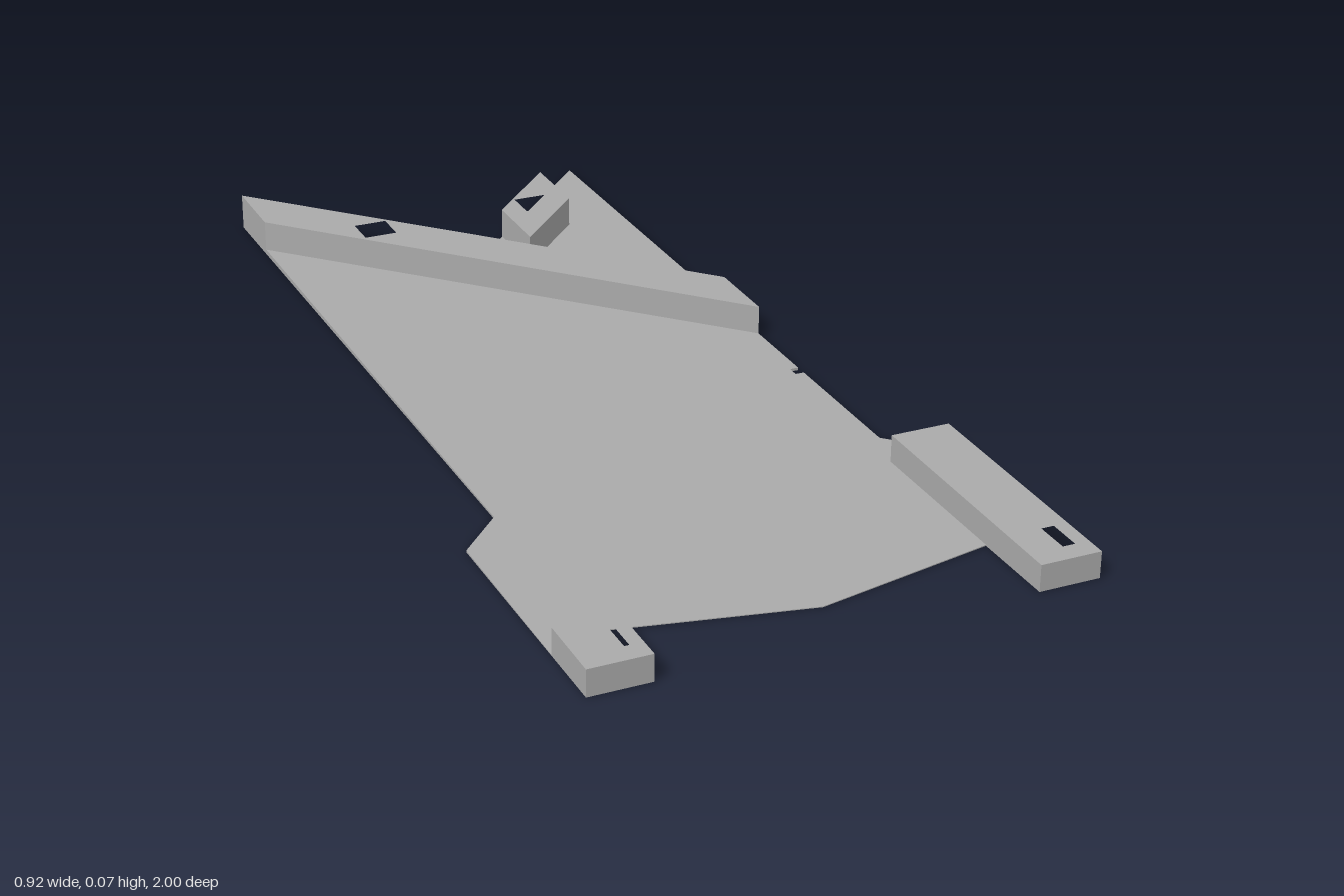
import * as THREE from 'three';

// Tops rise gently towards the back
const plateTop = z => 0.001 + 0.0048 * (1 - z);
const blockTop = z => 0.05 + 0.0112 * (1 - z);

// Upright prism over an (x, z) outline, with square holes and a sloping top
function prism(outline, holes, bottom, topAt) {
  const toPoints = list => list.map(([x, z]) => new THREE.Vector2(x, -z));
  const shape = new THREE.Shape(toPoints(outline));
  const r = 0.033;
  for (const [x, z] of holes) {
    shape.holes.push(new THREE.Path(toPoints([
      [x - r, z - r], [x + r, z - r], [x + r, z + r], [x - r, z + r],
    ])));
  }
  const geometry = new THREE.ExtrudeGeometry(shape, { depth: 1, bevelEnabled: false });
  geometry.rotateX(-Math.PI / 2);
  const p = geometry.attributes.position;
  for (let i = 0; i < p.count; i++) {
    p.setY(i, p.getY(i) > 0.5 ? topAt(p.getZ(i)) : bottom);
  }
  geometry.computeVertexNormals();
  return geometry;
}

export function createModel() {
  const group = new THREE.Group();
  const grey = new THREE.MeshStandardMaterial({ color: 0xaaaaaa });
  grey.name = 'grey';

  const add = (name, outline, holes, bottom, topAt) => {
    const mesh = new THREE.Mesh(prism(outline, holes, bottom, topAt), grey);
    mesh.name = name;
    group.add(mesh);
  };

  const leftFrontHole = [0.4, 0.928];
  const rightFrontHole = [-0.403, 0.928];
  const leftBackHole = [0.175, -0.722];
  const rightBackHole = [-0.178, -0.722];

  // Thin base with a V cut at the back, a small side notch and two front legs
  add('basePlate', [
    [-0.374, -1], [0, -0.615], [0.372, -1],
    [0.372, 0.092], [0.355, 0.092], [0.355, 0.115], [0.372, 0.115],
    [0.372, 0.41], [0.46, 0.5], [0.46, 1], [0.345, 1], [0.345, 0.83],
    [0, 0.902], [-0.345, 0.83], [-0.345, 1], [-0.46, 1], [-0.46, 0.5], [-0.374, 0.41],
  ], [leftFrontHole, rightFrontHole, leftBackHole, rightBackHole], 0, plateTop);

  // Long bar across the plate
  add('diagonalBar', [
    [-0.374, -1], [0, -0.615], [0.372, -0.228], [0.372, -0.075], [-0.374, -0.845],
  ], [rightBackHole], 0.001, blockTop);

  // Short pad along the other side of the V
  add('backPad', [
    [0.097, -0.715], [0.25, -0.875], [0.25, -0.718], [0.097, -0.562],
  ], [leftBackHole], 0.001, blockTop);

  // Raised blocks on the front legs
  add('longFrontBlock', [
    [0.345, 0.5], [0.46, 0.5], [0.46, 1], [0.345, 1],
  ], [leftFrontHole], 0.001, blockTop);
  add('shortFrontBlock', [
    [-0.46, 0.865], [-0.345, 0.865], [-0.345, 1], [-0.46, 1],
  ], [rightFrontHole], 0.001, blockTop);

  return group;
}
